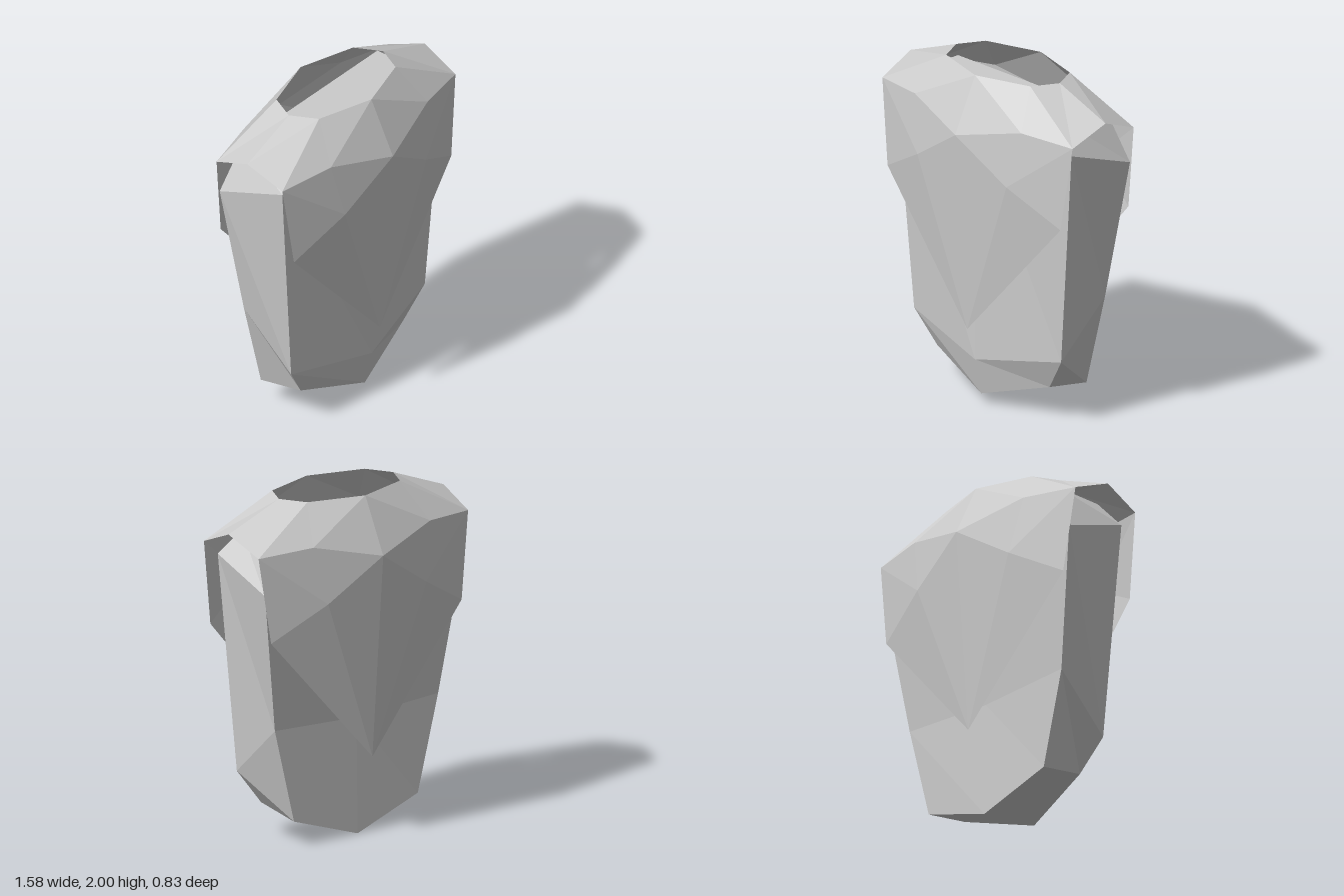
import * as THREE from 'three';

// Flat-shaded mesh from a few points and polygons, repeated for each [x, z] mirror sign pair
function mirroredMesh(name, points, faces, mirrors, side) {
  const positions = [];
  for (const [sx, sz] of mirrors) {
    for (const face of faces) {
      const loop = sx * sz < 0 ? [...face].reverse() : face;
      for (let k = 1; k < loop.length - 1; k++) {
        for (const i of [loop[0], loop[k], loop[k + 1]]) {
          const [x, y, z] = points[i];
          positions.push(x * sx, y, z * sz);
        }
      }
    }
  }
  const geometry = new THREE.BufferGeometry();
  geometry.setAttribute('position', new THREE.Float32BufferAttribute(positions, 3));
  geometry.computeVertexNormals();
  const material = new THREE.MeshStandardMaterial({ color: 0xcccccc, flatShading: true, side });
  const mesh = new THREE.Mesh(geometry, material);
  mesh.name = name;
  return mesh;
}

// Body: half of it as four columns, each running from the top rim to the bottom
function createTorso() {
  const columns = [
    [[0, 1.83, 0.195], [0, 1.69, 0.26], [0, 0.28, 0.26], [0, 0.06, 0.21]], // front centre
    [[0.6, 1.83, 0.11], [0.71, 1.69, 0.19], [0.595, 0.4, 0.16], [0.455, 0.2, 0.115]], // front corner
    [[0.6, 1.83, -0.19], [0.73, 1.54, -0.25], [0.6, 0.71, -0.18], [0.455, 0.15, -0.175]], // back corner
    [[0, 1.83, -0.19], [0, 1.54, -0.25], [0, 0.68, -0.18], [0, 0, -0.19]], // back centre
  ];
  const levels = 4;
  const faces = [[0, 4, 8, 12], [15, 11, 7, 3]]; // top and bottom caps
  for (let j = 0; j < columns.length - 1; j++) {
    for (let i = 0; i < levels - 1; i++) {
      const a = j * levels + i;
      faces.push([a, a + 1, a + levels + 1, a + levels]);
    }
  }
  return mirroredMesh('torso', columns.flat(), faces, [[1, 1], [-1, 1]], THREE.FrontSide);
}

// Shoulder cape: one quarter, mirrored left to right and front to back
function createCape() {
  const points = [
    [0.42, 2, 0], [0.34, 2, 0.155], [0, 2, 0.258], // 0-2 neck opening
    [0.79, 1.86, 0], [0.77, 1.765, 0.24], [0.43, 1.785, 0.315], [0, 1.68, 0.415], // 3-6 shoulder line
    [0.36, 1.45, 0.363], [0.7, 1.26, 0.267], [0, 0.48, 0.32], // 7-9 hanging point
  ];
  const faces = [
    [0, 1, 4, 3], [1, 5, 4], [1, 2, 5], [2, 6, 5], // yoke
    [6, 7, 5], [5, 7, 4], [7, 8, 4], [6, 9, 7], [7, 9, 8], // flap
  ];
  const mirrors = [[1, 1], [-1, 1], [1, -1], [-1, -1]];
  return mirroredMesh('shoulderCape', points, faces, mirrors, THREE.DoubleSide);
}

export function createModel() {
  const model = new THREE.Group();
  model.name = 'capedTorso';
  model.add(createTorso(), createCape());
  return model;
}
